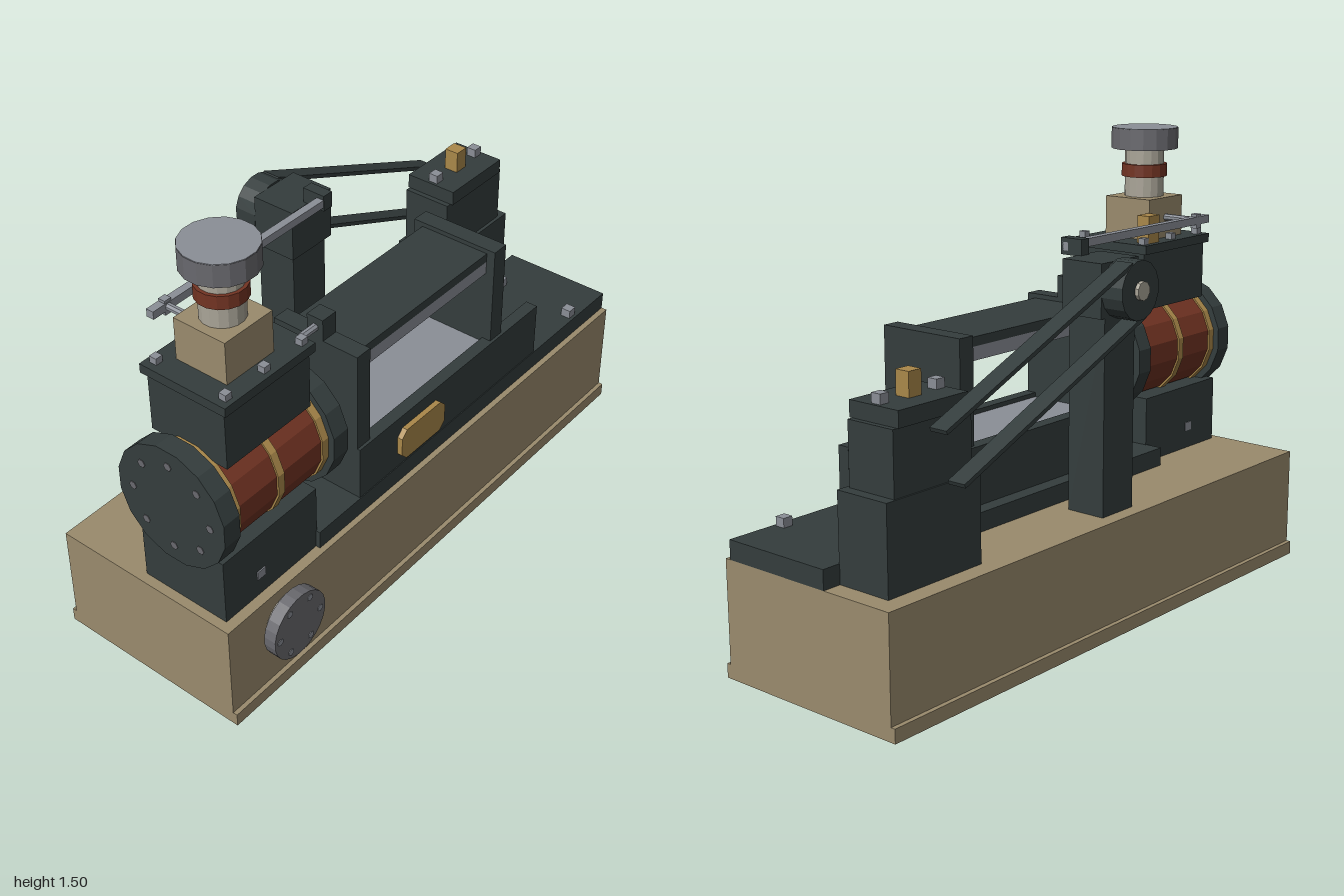
import * as THREE from 'three';

const mat = (name, color) => Object.assign(new THREE.MeshStandardMaterial({ color }), { name, flatShading: true });

export function createModel() {
  const root = new THREE.Group();
  root.name = 'steamPump';
  const green = mat('dark green iron', 0x343d3d);
  const tan = mat('tan paint', 0x9a8b6d);
  const brass = mat('brass', 0xaa884a);
  const red = mat('red lagging', 0x733423);
  const steel = mat('steel', 0x8b8f97);
  const gunmetal = mat('gunmetal', 0x69696e);
  const pale = mat('pale metal', 0xaaa598);

  const add = (name, geometry, material) => {
    const mesh = new THREE.Mesh(geometry, material);
    mesh.name = name;
    root.add(mesh);
    return mesh;
  };
  // Box given by its limits on each axis
  const box = (name, m, x0, x1, y0, y1, z0, z1) => {
    const mesh = add(name, new THREE.BoxGeometry(x1 - x0, y1 - y0, z1 - z0), m);
    mesh.position.set((x0 + x1) / 2, (y0 + y1) / 2, (z0 + z1) / 2);
    return mesh;
  };
  // Cylinder along an axis, from a to b; u, v are the other two coordinates in x, y, z order
  const cyl = (name, m, axis, r, a, b, u, v, sides = 16) => {
    const g = new THREE.CylinderGeometry(r, r, b - a, sides);
    g.rotateY(Math.PI / sides);
    const c = (a + b) / 2;
    if (axis === 'x') g.rotateZ(-Math.PI / 2).translate(c, u, v);
    else if (axis === 'y') g.translate(u, c, v);
    else g.rotateX(Math.PI / 2).translate(u, v, c);
    return add(name, g, m);
  };
  const bolt = (x, y, z, s = 0.034) => box('bolt', steel, x - s / 2, x + s / 2, y, y + 0.03, z - s / 2, z + s / 2);

  // Plinth with a skirting and a shallow recess underneath
  box('plinth', tan, -0.34, 0.32, 0.02, 0.375, -1, 1);
  box('skirtRight', tan, -0.355, -0.335, 0, 0.045, -1, 1);
  box('skirtLeft', tan, 0.315, 0.335, 0, 0.045, -1, 1);
  for (const z of [-0.99, 0, 0.99])
    box('undersideRib', tan, -0.335, 0.315, 0, 0.022, z - 0.01, z + 0.01);

  // Bed with two side rails and the slide table between them
  box('bedPlate', green, -0.09, 0.3, 0.375, 0.437, -1, 0.57);
  box('rightRail', green, -0.04, 0.005, 0.437, 0.625, -0.565, 0.375);
  box('leftRail', green, 0.255, 0.297, 0.437, 0.625, -0.565, 0.375);
  box('slideTable', steel, 0.005, 0.255, 0.437, 0.61, -0.31, 0.315);
  for (const x of [-0.015, 0.272]) {
    bolt(x, 0.437, -0.815);
    bolt(x, 0.437, 0.815);
  }

  // Crosshead frame
  box('frontUpright', green, -0.027, 0.287, 0.437, 0.967, 0.315, 0.375);
  box('rearUpright', green, -0.027, 0.287, 0.437, 0.967, -0.37, -0.31);
  box('rodGuide', green, 0.1, 0.16, 0.967, 1.04, 0.315, 0.375);
  box('topGuide', green, 0.005, 0.257, 0.922, 0.952, -0.31, 0.315);
  box('guideBar', steel, 0.005, 0.257, 0.878, 0.922, -0.31, 0.315);

  // Blank plate with clipped corners on the side of the bed
  const plate = new THREE.Shape();
  const w = 0.11, h = 0.056, c = 0.024;
  [[-w, -h + c], [-w + c, -h], [w - c, -h], [w, -h + c], [w, h - c], [w - c, h], [-w + c, h], [-w, h - c]]
    .forEach(([a, b], i) => (i ? plate.lineTo(a, b) : plate.moveTo(a, b)));
  const plateGeo = new THREE.ExtrudeGeometry(plate, { depth: 0.018, bevelEnabled: false });
  plateGeo.rotateY(Math.PI / 2).translate(0.297, 0.522, 0.08);
  add('sidePlate', plateGeo, brass);

  // Main cylinder on its saddle
  const cx = 0.13, cy = 0.75;
  box('saddle', green, -0.03, 0.285, 0.375, 0.6, 0.565, 0.968);
  cyl('cylinderLagging', red, 'z', 0.175, 0.52, 0.94, cx, cy);
  for (const z of [0.546, 0.738, 0.922])
    cyl('brassBand', brass, 'z', 0.181, z - 0.013, z + 0.013, cx, cy);
  cyl('frontCylinderHead', green, 'z', 0.202, 0.935, 0.998, cx, cy);
  cyl('rearCylinderHead', green, 'z', 0.202, 0.47, 0.533, cx, cy);
  for (let i = 0; i < 8; i++) {
    const t = (i * Math.PI) / 4;
    cyl('headBolt', gunmetal, 'z', 0.014, 0.99, 1, cx + 0.145 * Math.cos(t), cy + 0.145 * Math.sin(t), 6);
  }
  cyl('pistonGland', brass, 'z', 0.068, 0.37, 0.475, cx, cy, 12);
  for (const y of [0.655, 0.82]) box('glandBolt', steel, 0.115, 0.145, y, y + 0.025, 0.39, 0.42);

  // Valve chest and valve rod
  box('valveChest', green, -0.01, 0.27, 0.903, 1.097, 0.565, 0.912);
  box('chestCover', green, -0.026, 0.285, 1.097, 1.127, 0.555, 0.923);
  for (const x of [0.004, 0.256]) for (const z of [0.58, 0.735, 0.888]) bolt(x, 1.118, z, 0.025);
  box('valveGland', brass, 0.093, 0.167, 0.97, 1.04, 0.505, 0.565);
  cyl('valveRod', steel, 'z', 0.013, 0.37, 0.51, cx, 1.005, 8);

  // Throttle valve column
  box('valveBody', tan, 0.037, 0.222, 1.127, 1.265, 0.655, 0.845);
  cyl('valveNeck', pale, 'y', 0.067, 1.265, 1.43, cx, 0.75);
  cyl('neckBand', red, 'y', 0.078, 1.333, 1.376, cx, 0.75);
  cyl('valveCap', gunmetal, 'y', 0.114, 1.428, 1.498, cx, 0.75);
  cyl('capFace', steel, 'y', 0.113, 1.498, 1.5, cx, 0.75);
  box('brassFitting', brass, -0.006, 0.042, 1.127, 1.22, 0.595, 0.655);

  // Governor linkage
  box('linkRod', steel, -0.102, -0.076, 1.185, 1.211, 0.045, 0.81);
  cyl('leverShaft', steel, 'x', 0.012, -0.09, 0.04, 1.197, 0.75, 8);
  box('leverEye', steel, -0.101, -0.077, 1.172, 1.22, 0.737, 0.763);
  box('linkPivot', green, -0.155, -0.075, 1.172, 1.225, 0.045, 0.083);

  // Governor column, pulley and belt
  const px = 0.065, py = 1.09, pr = 0.09;
  box('governorColumn', green, -0.29, -0.153, 0.375, 1.005, -0.01, 0.14);
  box('governorHead', green, -0.29, -0.14, 1.005, 1.175, -0.028, 0.155);
  cyl('pulley', green, 'x', pr + 0.003, -0.367, -0.29, py, px);
  cyl('pulleyShaft', pale, 'x', 0.03, -0.38, -0.29, py, px, 10);
  const slope = Math.atan(0.42);
  for (const side of [1, -1]) {
    const len = 0.89;
    const z = px - side * pr * Math.sin(slope) - (len / 2) * Math.cos(slope);
    const y = py + side * pr * Math.cos(slope) - (len / 2) * Math.sin(slope);
    const belt = add('belt', new THREE.BoxGeometry(0.062, 0.013, len), green);
    belt.position.set(-0.333, y, z);
    belt.rotation.x = -slope;
  }

  // Rear gearbox
  box('gearboxBase', green, -0.277, -0.088, 0.375, 0.65, -0.937, -0.56);
  box('gearboxBody', green, -0.272, -0.1, 0.65, 0.845, -0.902, -0.592);
  box('gearboxLid', green, -0.277, -0.09, 0.845, 0.895, -0.885, -0.61);
  box('oilCup', brass, -0.207, -0.157, 0.895, 0.97, -0.772, -0.722);
  for (const z of [-0.637, -0.857]) bolt(-0.182, 0.895, z);

  // Side inlet flange
  cyl('inletNeck', pale, 'x', 0.09, 0.31, 0.34, 0.25, 0.755, 20);
  cyl('inletFlange', gunmetal, 'x', 0.114, 0.335, 0.377, 0.25, 0.755, 24);
  for (let i = 0; i < 6; i++) {
    const t = (i * Math.PI) / 3;
    cyl('flangeBolt', steel, 'x', 0.012, 0.37, 0.379, 0.25 + 0.09 * Math.sin(t), 0.755 + 0.09 * Math.cos(t), 6);
  }
  return root;
}
